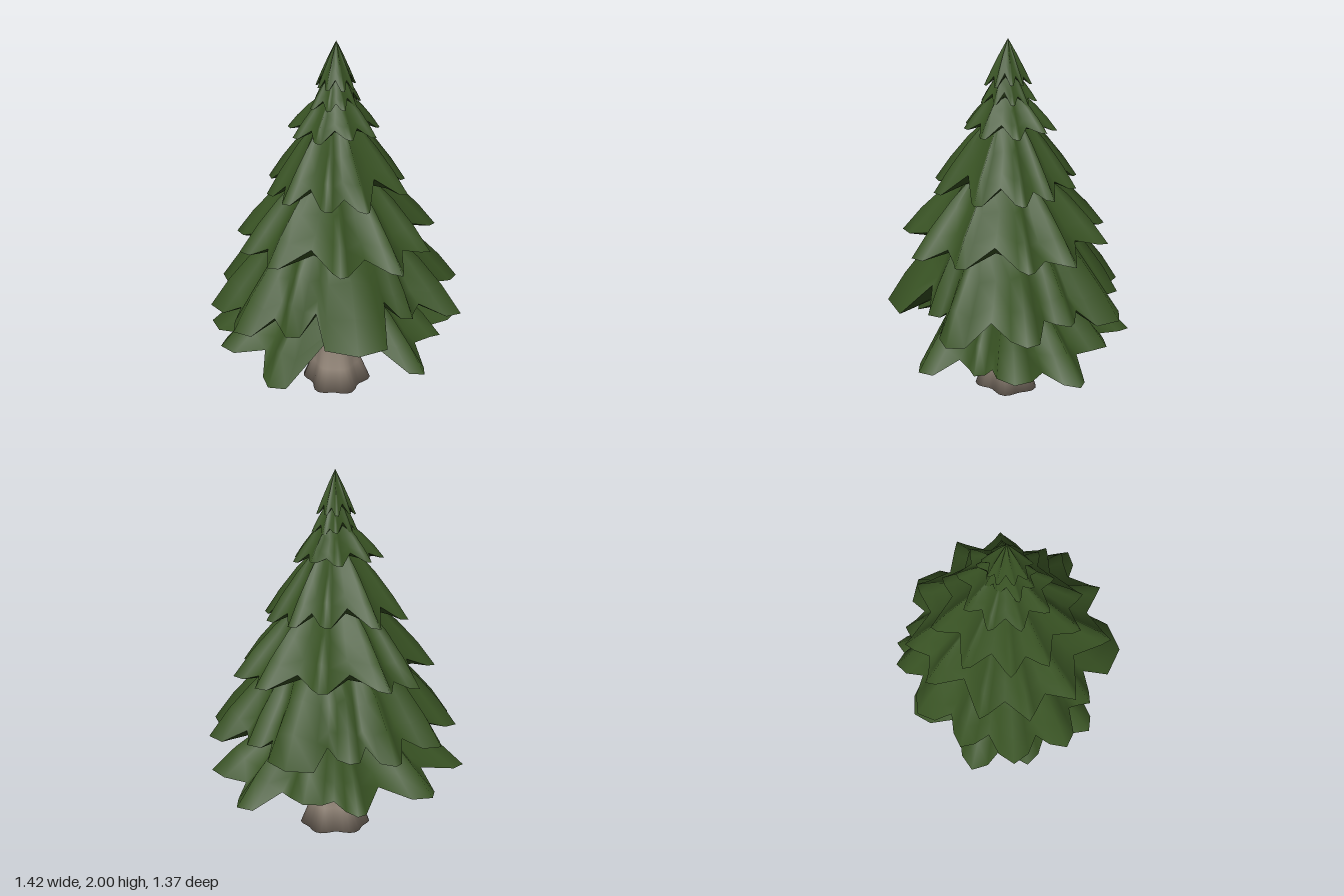
import * as THREE from 'three';

const needles = new THREE.MeshStandardMaterial({ color: 0x385223, side: THREE.DoubleSide });
needles.name = 'needle green';
const bark = new THREE.MeshStandardMaterial({ color: 0x8f8275 });
bark.name = 'bark brown';

// Small seeded generator for natural variation
function seeded(seed) {
  return () => {
    seed = (seed * 16807) % 2147483647;
    return seed / 2147483647;
  };
}

// Smooth closed surface through rings of equal point count
function loft(rings, material, name) {
  const n = rings[0].length;
  const index = [];
  for (let k = 0; k < rings.length - 1; k++) {
    for (let i = 0; i < n; i++) {
      const j = (i + 1) % n;
      const a = k * n + i, b = k * n + j, c = a + n, d = b + n;
      index.push(a, b, c, b, d, c);
    }
  }
  const geometry = new THREE.BufferGeometry();
  geometry.setAttribute('position', new THREE.Float32BufferAttribute(rings.flat(2), 3));
  geometry.setIndex(index);
  geometry.computeVertexNormals();
  const mesh = new THREE.Mesh(geometry, material);
  mesh.name = name;
  return mesh;
}

const polar = (a, r, y) => [Math.cos(a) * r, y, Math.sin(a) * r];
const mix = THREE.MathUtils.lerp;

// Evenly spread, slightly irregular branch tips
function starTips(count, radius, y, wobble, seed) {
  const random = seeded(seed);
  const tips = [];
  for (let i = 0; i < count; i++) {
    const a = ((i + (random() - 0.5) * 0.35) / count) * Math.PI * 2;
    const r = radius * (1 - random() * wobble);
    tips.push([Math.cos(a) * r, Math.sin(a) * r, y + (random() - 0.3) * 0.1 * radius, 0.8 / count]);
  }
  return tips;
}

// One skirt of boughs from its top ring to its tips, then under to the inner ring.
// Each tip is [x, z, y, half width in radians]
function boughTier(name, [topR, topY], [innerR, innerY], tipList) {
  const tips = tipList
    .map(([x, z, y, w]) => ({ a: Math.atan2(z, x), r: Math.hypot(x, z), y, w }))
    .sort((p, q) => p.a - q.a);
  const columns = [];
  tips.forEach((tip, i) => {
    const next = tips[(i + 1) % tips.length];
    const nextA = next.a + (i === tips.length - 1 ? Math.PI * 2 : 0);
    // Blunt end: corner, ridge, corner
    columns.push({ a: tip.a - tip.w, r: tip.r * 0.93, y: tip.y - 0.02 * tip.r, lift: 0 });
    columns.push({ a: tip.a, r: tip.r, y: tip.y, lift: 0.06 });
    columns.push({ a: tip.a + tip.w, r: tip.r * 0.92, y: tip.y + 0.01 * tip.r, lift: 0.01 });
    // Notch between this bough and the next; wide gaps cut deeper
    const cut = THREE.MathUtils.clamp(1.0 - (nextA - tip.a) * 0.4, 0.3, 0.82);
    const tipR = (tip.r + next.r) / 2;
    const r = tipR * cut;
    const slope = (r - topR) / (tipR - topR);
    const y = mix(topY, (tip.y + next.y) / 2, slope) - 0.14 * tipR;
    columns.push({ a: (tip.a + tip.w + nextA - next.w) / 2, r, y, lift: -0.05 });
  });
  const size = Math.max(...tips.map(t => t.r));
  const ring = f => columns.map(c => polar(c.a, ...f(c)));

  const rim = ring(c => [c.r, c.y]);
  const along = t => ring(c => [
    mix(topR, c.r, t),
    mix(topY, c.y, t) + c.lift * size * Math.sin(Math.PI * t),
  ]);
  const group = new THREE.Group();
  group.name = name;
  group.add(loft([ring(() => [topR, topY]), along(0.35), along(0.7), rim], needles, 'boughTops'));
  group.add(loft([
    rim,
    ring(c => [mix(c.r, innerR, 0.5), mix(c.y, innerY, 0.5) + (c.lift - 0.03) * size * 0.5]),
    ring(() => [innerR, innerY]),
  ], needles, 'boughUndersides'));
  return group;
}

// Flared trunk with root lobes
function makeTrunk() {
  const profile = [[0.092, 0.75], [0.094, 0.5], [0.097, 0.38], [0.105, 0.27], [0.138, 0.13], [0.182, 0], [0, 0]];
  const sides = 36;
  const rings = profile.map(([r, y]) => {
    const flare = Math.max(0, 1 - y / 0.3);
    return Array.from({ length: sides }, (_, i) => {
      const a = (i / sides) * Math.PI * 2;
      const lobes = 0.09 * Math.cos(6 * a - 1.4) + 0.06 * Math.cos(3 * a + 0.8);
      return polar(a, r * (1 + flare * lobes), y);
    });
  });
  return loft(rings, bark, 'trunk');
}

export function createModel() {
  const tree = new THREE.Group();
  tree.name = 'pineTree';
  tree.add(makeTrunk());

  // Lowest boughs, open at the front
  const lowestTips = [
    [0.70, 0.02, 0.38, 0.14], [0.62, -0.33, 0.30, 0.10], [0.31, -0.52, 0.36, 0.16],
    [0.07, -0.69, 0.34, 0.08], [-0.38, -0.55, 0.33, 0.16], [-0.71, -0.18, 0.34, 0.12],
    [-0.67, 0.15, 0.36, 0.12], [-0.44, 0.52, 0.31, 0.12], [0.40, 0.51, 0.30, 0.10],
    [0.56, 0.22, 0.36, 0.08],
  ];
  // Widest boughs
  const lowTips = [
    [0.715, -0.04, 0.60, 0.11], [0.55, -0.28, 0.62, 0.10], [0.41, -0.56, 0.57, 0.20],
    [0.09, -0.61, 0.59, 0.10], [-0.14, -0.65, 0.57, 0.10], [-0.44, -0.50, 0.59, 0.15],
    [-0.63, -0.24, 0.61, 0.11], [-0.71, 0.07, 0.58, 0.13], [-0.60, 0.37, 0.57, 0.12],
    [-0.34, 0.50, 0.59, 0.10], [0.01, 0.68, 0.55, 0.26], [0.34, 0.45, 0.61, 0.09],
    [0.63, 0.36, 0.57, 0.11],
  ];

  // Tiers from the point down: name, top ring [radius, height], tips
  const tiers = [
    ['treeTop', [0, 2.0], starTips(9, 0.13, 1.765, 0.20, 311)],
    ['crownBoughs', [0.055, 1.81], starTips(9, 0.16, 1.67, 0.25, 58)],
    ['highBoughs', [0.085, 1.71], starTips(9, 0.265, 1.525, 0.12, 97)],
    ['upperBoughs', [0.12, 1.57], starTips(10, 0.42, 1.205, 0.10, 423)],
    ['middleBoughs', [0.22, 1.28], starTips(11, 0.60, 0.91, 0.10, 71)],
    ['lowBoughs', [0.34, 0.97], lowTips],
    ['lowestBoughs', [0.26, 0.67], lowestTips],
  ];
  // Each underside meets the top ring of the tier below, the last one the trunk
  tiers.forEach(([name, top, tips], i) => {
    const inner = i < tiers.length - 1 ? tiers[i + 1][1] : [0.08, 0.57];
    tree.add(boughTier(name, top, inner, tips));
  });
  return tree;
}
